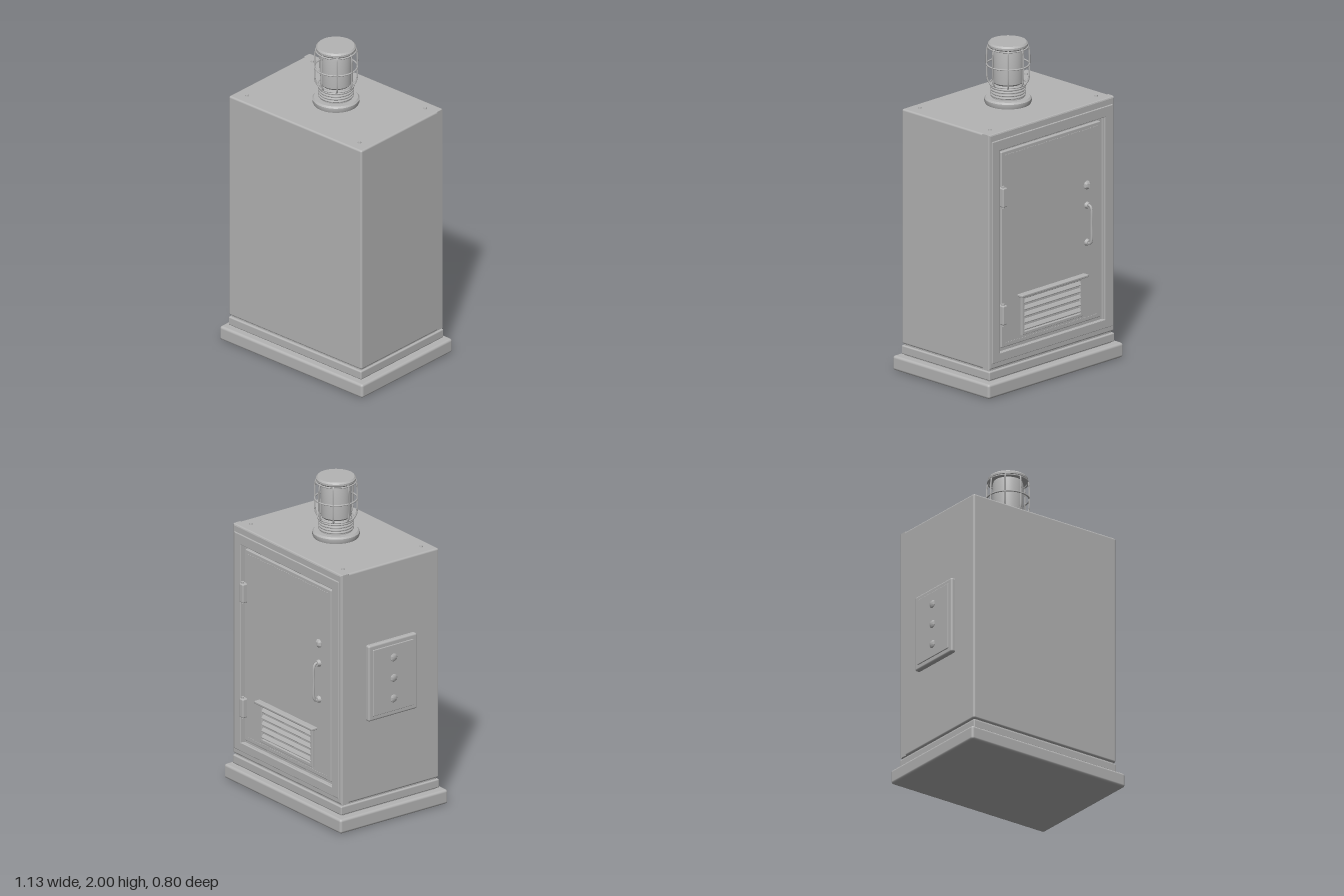
import * as THREE from 'three';
import { RoundedBoxGeometry } from 'three/addons/geometries/RoundedBoxGeometry.js';
import { toCreasedNormals } from 'three/addons/utils/BufferGeometryUtils.js';

const grey = new THREE.MeshStandardMaterial({ color: 0xb4b4b4 });
grey.name = 'grey painted metal';

function add(parent, name, geometry, x = 0, y = 0, z = 0) {
  const mesh = new THREE.Mesh(geometry, grey);
  mesh.name = name;
  mesh.position.set(x, y, z);
  parent.add(mesh);
  return mesh;
}

// Rounded box given by its lower and upper limits
function block(parent, name, [x0, x1], [y0, y1], [z0, z1], r = 0.01) {
  const g = new RoundedBoxGeometry(x1 - x0, y1 - y0, z1 - z0, 2, r);
  return add(parent, name, g, (x0 + x1) / 2, (y0 + y1) / 2, (z0 + z1) / 2);
}

function rect(target, w, y0, y1) {
  target.moveTo(-w, y0);
  target.lineTo(w, y0);
  target.lineTo(w, y1);
  target.lineTo(-w, y1);
  target.closePath();
  return target;
}

// Rectangular frame with softened edges, between two z positions
function frame(parent, name, outer, inner, z0, z1, b) {
  const shape = rect(new THREE.Shape(), outer[0] - b, outer[1] + b, outer[2] - b);
  shape.holes.push(rect(new THREE.Path(), inner[0] + b, inner[1] - b, inner[2] + b));
  const g = new THREE.ExtrudeGeometry(shape, {
    depth: z1 - z0 - 2 * b, bevelEnabled: true, bevelSize: b, bevelThickness: b, bevelSegments: 2,
  });
  return add(parent, name, g, 0, 0, z0 + b);
}

function lathe(points, segments = 48) {
  const g = new THREE.LatheGeometry(points.map(([r, y]) => new THREE.Vector2(r, y)), segments);
  return toCreasedNormals(g, 0.6);
}

function makeBase() {
  const g = new THREE.Group();
  g.name = 'base';
  block(g, 'plinth', [-0.565, 0.565], [0, 0.09], [-0.4, 0.4], 0.016);
  block(g, 'plinthCore', [-0.512, 0.512], [0.08, 0.18], [-0.35, 0.35], 0.004);
  block(g, 'plinthStep', [-0.525, 0.525], [0.098, 0.153], [-0.365, 0.365], 0.008);
  return g;
}

function makeCabinet() {
  const g = new THREE.Group();
  g.name = 'cabinet';
  block(g, 'body', [-0.525, 0.525], [0.163, 1.62], [-0.335, 0.362], 0.012);
  frame(g, 'rearSurround', [0.525, 0.163, 1.62], [0.445, 0.25, 1.515], -0.362, -0.3, 0.01);
  frame(g, 'rearFrame', [0.505, 0.2, 1.575], [0.44, 0.255, 1.51], -0.37, -0.35, 0.004);
  // Fixing screws in the roof corners
  for (const x of [-0.445, 0.445]) for (const z of [-0.29, 0.29]) {
    add(g, 'roofScrew', new THREE.CylinderGeometry(0.009, 0.011, 0.012, 16), x, 1.624, z);
  }
  return g;
}

function makeDoor() {
  const g = new THREE.Group();
  g.name = 'door';
  block(g, 'doorPanel', [-0.415, 0.415], [0.275, 1.49], [-0.356, -0.32], 0.006);
  // Rows of small ribs along the top and bottom
  for (const y of [0.3, 1.465]) for (let i = 0; i < 34; i++) {
    add(g, 'doorRib', new THREE.BoxGeometry(0.012, 0.006, 0.006), -0.38 + i * 0.023, y, -0.357);
  }
  // Hinges
  for (const y of [0.485, 1.215]) {
    block(g, 'hinge', [0.395, 0.432], [y - 0.06, y + 0.06], [-0.388, -0.34], 0.008);
    const pin = new THREE.CylinderGeometry(0.009, 0.009, 0.14, 16);
    add(g, 'hingePin', pin, 0.418, y, -0.372);
  }
  // Lock
  const lock = new THREE.Group();
  lock.name = 'lock';
  lock.position.set(-0.3, 1.12, -0.354);
  lock.rotation.x = -Math.PI / 2;
  add(lock, 'lockBarrel', lathe([[0, 0], [0.026, 0], [0.026, 0.008], [0.018, 0.016], [0.012, 0.02], [0, 0.02]], 32));
  add(lock, 'lockKnob', new THREE.BoxGeometry(0.008, 0.01, 0.026), 0, 0.022, 0);
  g.add(lock);
  // Bow handle with round feet
  const path = new THREE.CatmullRomCurve3([
    [1.0, -0.35], [0.995, -0.385], [0.98, -0.394], [0.88, -0.396], [0.78, -0.394], [0.765, -0.385], [0.76, -0.35],
  ].map(([y, z]) => new THREE.Vector3(-0.3, y, z)));
  add(g, 'handle', new THREE.TubeGeometry(path, 40, 0.008, 10));
  for (const y of [0.765, 0.995]) {
    const foot = add(g, 'handleFoot', new THREE.CylinderGeometry(0.016, 0.022, 0.02, 24), -0.3, y, -0.364);
    foot.rotation.x = -Math.PI / 2;
  }
  // Louvred vent under a small hood
  frame(g, 'ventFrame', [0.255, 0.32, 0.565], [0.235, 0.34, 0.545], -0.37, -0.35, 0.003);
  for (let i = 0; i < 5; i++) {
    const slat = add(g, 'ventSlat', new RoundedBoxGeometry(0.475, 0.026, 0.01, 2, 0.004), 0, 0.362 + i * 0.041, -0.364);
    slat.rotation.x = 0.6;
  }
  block(g, 'ventHood', [-0.28, 0.28], [0.562, 0.578], [-0.395, -0.345], 0.005);
  return g;
}

function makeSidePanel() {
  const g = new THREE.Group();
  g.name = 'sidePanel';
  block(g, 'panelBox', [-0.552, -0.51], [0.655, 1.135], [-0.18, 0.18], 0.012);
  block(g, 'panelCover', [-0.557, -0.54], [0.685, 1.105], [-0.15, 0.15], 0.004);
  for (const y of [0.765, 0.895, 1.025]) {
    const knob = add(g, 'panelButton',
      lathe([[0, 0], [0.024, 0], [0.024, 0.006], [0.018, 0.01], [0, 0.01]], 32), -0.555, y, 0);
    knob.rotation.z = Math.PI / 2;
  }
  return g;
}

function makeBeacon() {
  const g = new THREE.Group();
  g.name = 'beacon';
  add(g, 'beaconFlange', lathe([[0, 1.61], [0.13, 1.61], [0.14, 1.632], [0.14, 1.65], [0.13, 1.66], [0, 1.66]]));
  add(g, 'beaconCollar', lathe([[0.098, 1.655], [0.098, 1.73], [0.09, 1.745], [0, 1.745]]));
  for (const y of [1.675, 1.692, 1.71, 1.727]) {
    const ring = add(g, 'collarThread', new THREE.TorusGeometry(0.099, 0.0065, 8, 48), 0, y, 0);
    ring.rotation.x = Math.PI / 2;
  }
  add(g, 'lens', lathe([[0.08, 1.74], [0.092, 1.755], [0.092, 1.95], [0.084, 1.975], [0, 1.975]]));
  add(g, 'beaconCap', lathe([[0, 1.97], [0.112, 1.97], [0.119, 1.978], [0.119, 1.99], [0.11, 2], [0, 2]]));
  // Wire cage
  const bar = new THREE.CatmullRomCurve3([
    [0.095, 1.735], [0.112, 1.745], [0.123, 1.775], [0.126, 1.86], [0.125, 1.94], [0.121, 1.965], [0.11, 1.98],
  ].map(([r, y]) => new THREE.Vector3(r, y, 0)));
  const barGeometry = new THREE.TubeGeometry(bar, 24, 0.005, 8);
  for (let i = 0; i < 8; i++) add(g, 'cageBar', barGeometry).rotation.y = i * Math.PI / 4;
  for (const [r, y] of [[0.108, 1.742], [0.126, 1.86], [0.119, 1.968]]) {
    const ring = add(g, 'cageRing', new THREE.TorusGeometry(r, 0.005, 8, 48), 0, y, 0);
    ring.rotation.x = Math.PI / 2;
  }
  return g;
}

export function createModel() {
  const model = new THREE.Group();
  model.name = 'equipmentCabinet';
  model.add(makeBase(), makeCabinet(), makeDoor(), makeSidePanel(), makeBeacon());
  return model;
}
